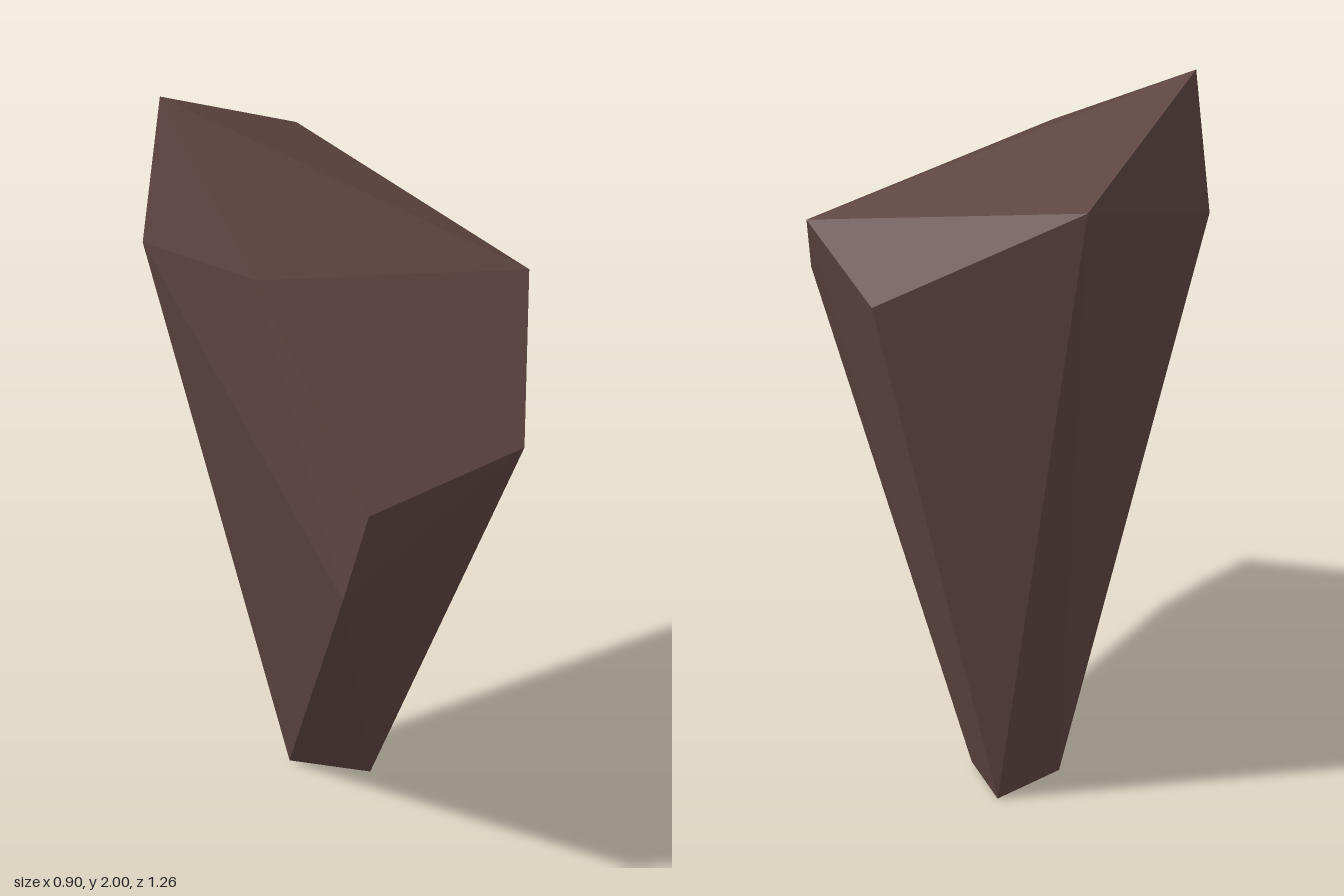
import * as THREE from 'three';
import { ConvexGeometry } from 'three/addons/geometries/ConvexGeometry.js';

export function createModel() {
  const group = new THREE.Group();
  group.name = 'rockShard';

  const brownStone = new THREE.MeshStandardMaterial({ color: 0x5d4440 });
  brownStone.name = 'brownStone';

  // Corners of the faceted shard, grouped from foot to crown
  const foot = [[0.1, 0.01, -0.11], [0.11, 0, -0.285], [-0.1, 0.005, -0.25]];
  const frontEdge = [[-0.215, 0.99, 0.56], [-0.175, 1.245, 0.63], [0.27, 1.3, 0.51]];
  const sides = [[0.44, 1.6, 0.12], [0.447, 1.515, -0.28], [-0.45, 1.62, -0.343]];
  const crown = [[-0.32, 1.71, 0.235], [0.065, 1.805, -0.63], [-0.387, 2, -0.352]];

  // One convex, flat-faced stone wrapped around the corners
  const corners = [...foot, ...frontEdge, ...sides, ...crown].map(p => new THREE.Vector3(...p));
  const shard = new THREE.Mesh(new ConvexGeometry(corners), brownStone);
  shard.name = 'shard';
  group.add(shard);

  return group;
}
